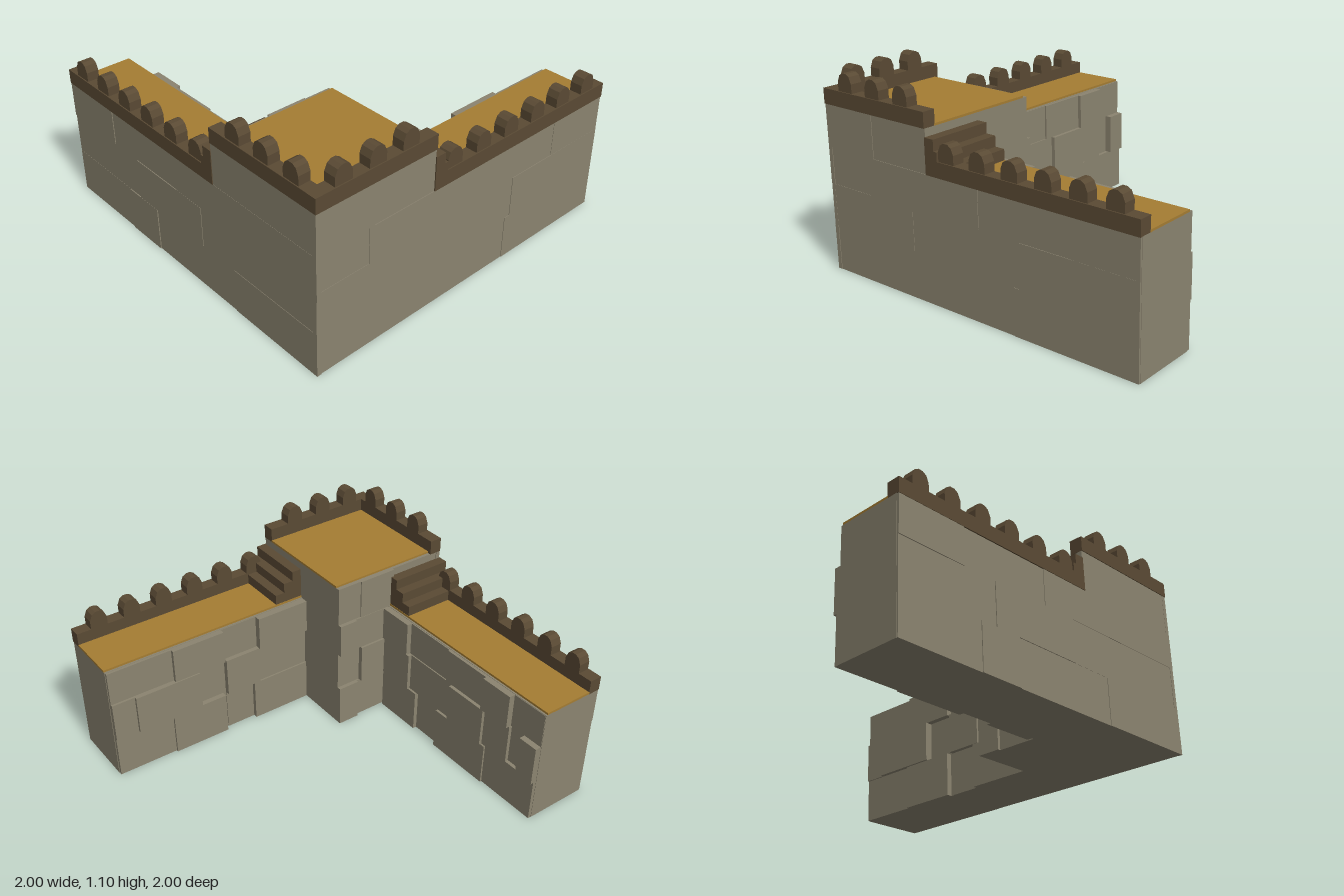
import * as THREE from 'three';

const flat = (name, color) => Object.assign(new THREE.MeshStandardMaterial({ color }), { name });

export function createModel() {
  const root = new THREE.Group();
  root.name = 'cornerRampart';
  const stone = flat('stone', 0x8b8470);
  const wood = flat('darkBrick', 0x5a4a34);
  const deck = flat('ochreDeck', 0xa57d33);

  // Box between two corners; swap reflects it across the corner diagonal (x,z) -> (-z,-x)
  function box(parent, name, mat, [x0, x1], [y0, y1], [z0, z1], swap = false) {
    if (swap) [x0, x1, z0, z1] = [-z1, -z0, -x1, -x0];
    const mesh = new THREE.Mesh(new THREE.BoxGeometry(x1 - x0, y1 - y0, z1 - z0), mat);
    mesh.position.set((x0 + x1) / 2, (y0 + y1) / 2, (z0 + z1) / 2);
    mesh.name = name;
    parent.add(mesh);
  }

  // Arched merlon, extruded through the parapet thickness
  const arch = new THREE.Shape([
    [-0.05, 0], [0.05, 0], [0.05, 0.052], [0.035, 0.087], [0.013, 0.1],
    [-0.013, 0.1], [-0.035, 0.087], [-0.05, 0.052],
  ].map(p => new THREE.Vector2(...p)));
  const merlonGeo = new THREE.ExtrudeGeometry(arch, { depth: 0.067, bevelEnabled: false });
  function merlon(parent, x, y, swap) {
    const mesh = new THREE.Mesh(merlonGeo, wood);
    mesh.name = 'merlon';
    if (swap) {
      mesh.rotation.y = -Math.PI / 2;
      mesh.position.set(-0.925, y, -x);
    } else mesh.position.set(x, y, 0.925);
    parent.add(mesh);
  }

  // Stone courses
  const rows = [[0, 0.252], [0.252, 0.486], [0.486, 0.688], [0.688, 0.92]];

  // Tower core and deck
  const tower = new THREE.Group();
  tower.name = 'cornerTower';
  root.add(tower);
  box(tower, 'towerCore', stone, [-0.985, -0.268], [0, 0.92], [0.285, 0.985]);
  box(tower, 'towerDeck', deck, [-0.93, -0.268], [0.919, 0.931], [0.29, 0.93]);

  // Per wing: inner blocks [start, end, inner face] and outer blocks [start, end, outer face] by course
  const wings = [
    {
      name: 'frontWing', swap: false,
      inner: [
        [[-0.27, 0.1, 0.59], [0.1, 0.28, 0.615], [0.3, 0.64, 0.588], [0.64, 0.997, 0.6]],
        [[-0.27, 0.06, 0.6], [0.06, 0.28, 0.588], [0.46, 0.86, 0.576], [0.86, 0.997, 0.592]],
        [[-0.27, 0.06, 0.578], [0.06, 0.29, 0.615], [0.29, 0.61, 0.584], [0.61, 0.997, 0.605]],
      ],
      outer: [
        [[-0.995, 0.28, 0.992], [0.28, 0.998, 0.995]],
        [[-0.995, -0.385, 0.994], [-0.385, 0.315, 0.992], [0.315, 0.998, 0.995]],
        [[-0.995, -0.68, 0.992], [-0.68, 0.065, 0.995], [0.065, 0.615, 0.992], [0.615, 0.998, 0.994]],
        [[-0.995, -0.65, 0.995], [-0.65, -0.268, 0.992]],
      ],
    },
    {
      name: 'sideWing', swap: true,
      inner: [
        [[-0.25, 0.045, 0.592], [0.045, 0.23, 0.615], [0.23, 0.63, 0.59], [0.63, 0.998, 0.6]],
        [[-0.25, -0.02, 0.584], [-0.02, 0.33, 0.605], [0.33, 0.6, 0.582], [0.6, 0.785, 0.6], [0.88, 0.998, 0.582]],
        [[-0.26, -0.04, 0.582], [-0.04, 0.28, 0.612], [0.28, 0.58, 0.602], [0.58, 0.78, 0.582], [0.78, 0.998, 0.617]],
      ],
      outer: [
        [[-0.995, -0.4, 0.995], [-0.4, 0.25, 0.992], [0.25, 0.5, 0.997], [0.5, 0.998, 0.993]],
        [[-0.995, -0.15, 0.993], [-0.15, 0.4, 0.996], [0.4, 0.998, 0.992]],
        [[-0.995, 0.05, 0.995], [0.05, 0.6, 0.992], [0.6, 0.998, 0.996]],
        [[-0.995, -0.268, 0.994]],
      ],
    },
  ];

  for (const { name, swap, inner, outer } of wings) {
    const wing = new THREE.Group();
    wing.name = name;
    root.add(wing);
    box(wing, 'wallCore', stone, [-0.29, 1], [0, 0.69], [0.62, 0.985], swap);
    box(wing, 'wallDeck', deck, [-0.27, 1], [0.689, 0.702], [0.63, 0.93], swap);

    // Uneven masonry on both wall faces
    inner.forEach((row, r) => row.forEach(([a, b, z]) =>
      box(wing, 'innerBlock', stone, [a, b], rows[r], [z, 0.64], swap)));
    outer.forEach((row, r) => row.forEach(([a, b, z]) =>
      box(wing, 'outerBlock', stone, [a, b], rows[r], [0.97, z], swap)));

    // Parapets with merlons
    box(wing, 'wallParapet', wood, [-0.27, 1], [0.688, 0.77], [0.925, 0.998], swap);
    box(wing, 'towerParapet', wood, [-0.998, -0.268], [0.92, 1.003], [0.925, 0.998], swap);
    for (let i = 0; i < 6; i++) merlon(wing, -0.135 + i * 0.2, 0.768, swap);
    for (let i = 0; i < 3; i++) merlon(wing, -0.835 + i * 0.2, 1, swap);

    // Three steps up to the tower
    for (let i = 0; i < 3; i++)
      box(wing, 'step', wood, [-0.27, -0.21 + i * 0.058], [0.7, 0.877 - i * 0.058], [0.632, 0.93], swap);
    box(wing, 'stepEnd', wood, [-0.27, -0.21], [0.7, 0.877], [0.925, 0.998], swap);
    box(wing, 'stepEnd', wood, [-0.21, -0.19], [0.7, 0.818], [0.925, 0.998], swap);
  }

  // Masonry on the tower's back: [x start, x end, back face] by course
  const back = [
    [[-0.63, -0.4, 0.262], [-0.4, -0.268, 0.246]],
    [[-0.63, -0.42, 0.242], [-0.42, -0.268, 0.27]],
    [[-0.63, -0.38, 0.255], [-0.38, -0.268, 0.242]],
    [[-0.98, -0.65, 0.272], [-0.65, -0.42, 0.258], [-0.42, -0.268, 0.265]],
  ];
  back.forEach((row, r) => row.forEach(([a, b, z]) =>
    box(tower, 'backBlock', stone, [a, b], rows[r], [z, 0.3])));

  return root;
}
